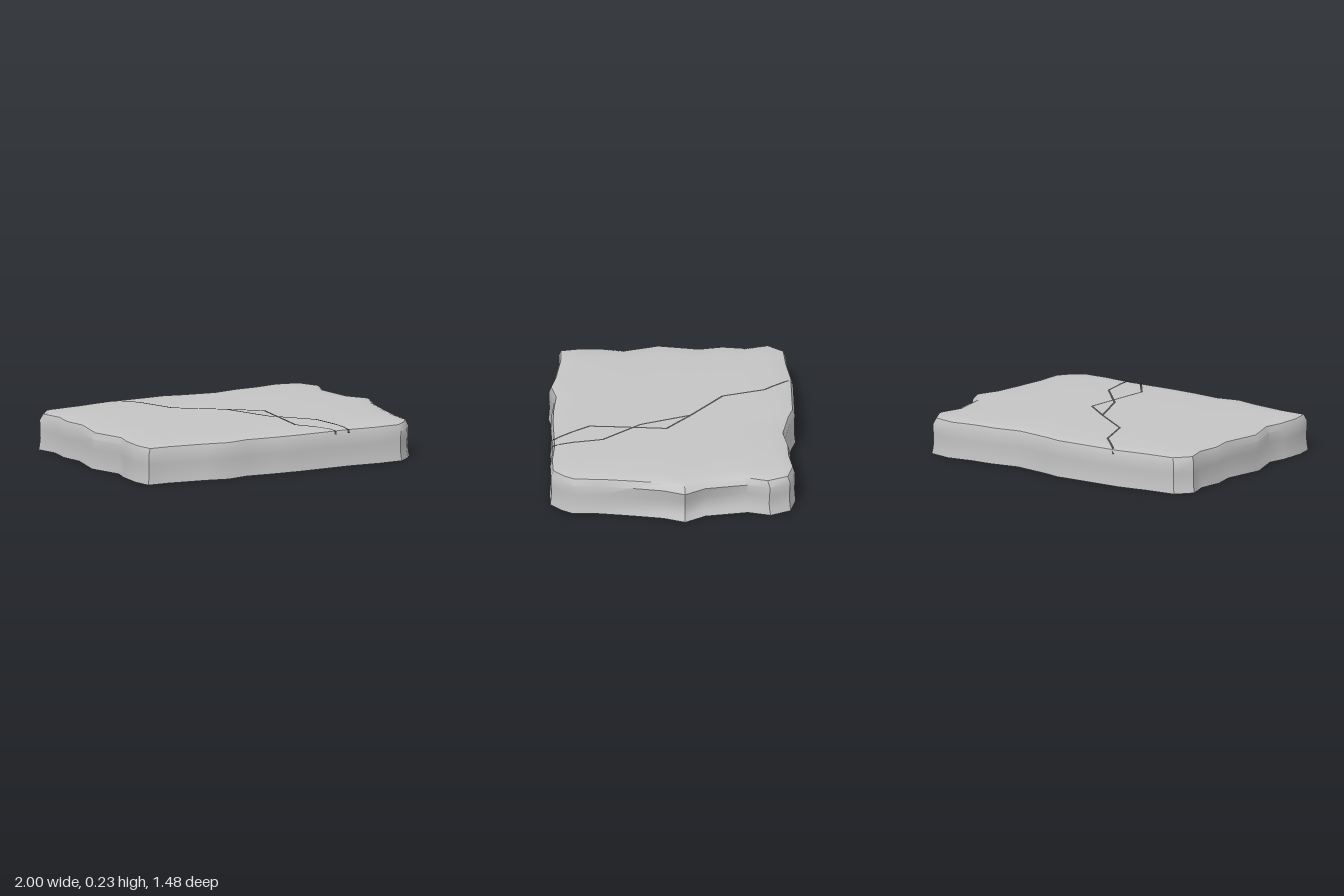
import * as THREE from 'three';
import { toCreasedNormals } from 'three/addons/utils/BufferGeometryUtils.js';

// ragged plan outline (x, z), clockwise seen from above
const OUTLINE = [
  [-1, -0.59], [-0.92, -0.685], [-0.74, -0.70], [-0.54, -0.73], [-0.32, -0.735], [-0.1, -0.74],
  [0, -0.715], [0.23, -0.68], [0.4, -0.71], [0.54, -0.715], [0.7, -0.74], [0.84, -0.71],
  [0.905, -0.59], [0.865, -0.455], [0.915, -0.2], [1, -0.08], [0.945, 0.05], [0.91, 0.24],
  [0.88, 0.43], [0.875, 0.595], [0.83, 0.66], [0.755, 0.725], [0.6, 0.73], [0.4, 0.715],
  [0.08, 0.725], [-0.1, 0.72], [-0.28, 0.705], [-0.42, 0.735], [-0.56, 0.705], [-0.8, 0.675],
  [-0.93, 0.675], [-0.955, 0.56], [-0.95, 0.4], [-0.925, 0.29], [-0.995, 0.08], [-0.95, -0.17],
  [-0.98, -0.31], [-0.96, -0.455],
];

// rings from the base up and over the top: height, inset, extra inset at the worn +x tip
const RINGS = [
  [0, 0, 0], [0.035, 0.005, 0.015], [0.07, 0.008, 0.024], [0.12, 0.007, 0.016], [0.18, 0.005, 0],
  [0.218, 0.022, 0.02], [0.225, 0.05, 0.012], [0.231, 0.16, 0], [0.233, 0.5, 0],
];

function slabGeometry() {
  const n = OUTLINE.length;
  const pos = [];
  const index = [];
  for (const [y, inset, extra] of RINGS) {
    for (const [x, z] of OUTLINE) {
      const tip = x > 0.8 ? Math.max(0, 1 - Math.abs(z + 0.15) / 0.6) : 0;
      const d = inset + extra * tip;
      pos.push(x * (1 - d), y, z * (1 - d / 0.9));
    }
  }
  const base = pos.length / 3;
  pos.push(0, 0, 0, 0, 0.233, 0);
  const last = (RINGS.length - 1) * n;
  for (let i = 0; i < n; i++) {
    const j = (i + 1) % n;
    for (let r = 0; r < RINGS.length - 1; r++) {
      const a = r * n, b = a + n;
      index.push(a + j, a + i, b + i, a + j, b + i, b + j);
    }
    index.push(base, i, j, base + 1, last + j, last + i);
  }
  const g = new THREE.BufferGeometry();
  g.setAttribute('position', new THREE.Float32BufferAttribute(pos, 3));
  g.setIndex(index);
  return toCreasedNormals(g, 0.65);
}

// thin mitred ribbon laid on the slab, with a short drop over the front edge
function crackGeometry(path, slab) {
  const half = 0.007;
  const ray = new THREE.Raycaster();
  const down = new THREE.Vector3(0, -1, 0);
  const height = (x, z) => {
    ray.set(new THREE.Vector3(x, 1, z), down);
    const hit = ray.intersectObject(slab)[0];
    return (hit ? hit.point.y : 0.216) + 0.002;
  };
  const pts = path.map(([x, z]) => new THREE.Vector2(x, z));
  const sides = pts.map((p, i) => {
    const a = p.clone().sub(pts[Math.max(i - 1, 0)]).normalize();
    const b = pts[Math.min(i + 1, pts.length - 1)].clone().sub(p).normalize();
    const t = a.clone().add(b).normalize();
    const cos = Math.max(t.dot(a), t.dot(b));
    return new THREE.Vector2(-t.y, t.x).multiplyScalar(half / cos);
  });
  const pos = [];
  const index = [];
  const STEPS = 8;
  for (let i = 0; i < pts.length - 1; i++) {
    for (let k = i ? 1 : 0; k <= STEPS; k++) {
      const p = pts[i].clone().lerp(pts[i + 1], k / STEPS);
      const s = sides[i].clone().lerp(sides[i + 1], k / STEPS);
      const y = height(p.x, p.y);
      pos.push(p.x - s.x, y, p.y - s.y, p.x + s.x, y, p.y + s.y);
    }
  }
  const end = pts[pts.length - 1];
  for (const [y, z] of [[0.219, 0.012], [0.2, 0.019]]) {
    pos.push(end.x + half, y, end.y + z, end.x - half, y, end.y + z);
  }
  for (let i = 0; i < pos.length / 6 - 1; i++) {
    const a = i * 2;
    index.push(a, a + 1, a + 2, a + 1, a + 3, a + 2);
  }
  const g = new THREE.BufferGeometry();
  g.setAttribute('position', new THREE.Float32BufferAttribute(pos, 3));
  g.setIndex(index);
  // crease so the drop does not tilt the shading of the flat run
  return toCreasedNormals(g, 0.5);
}

export function createModel() {
  const stone = new THREE.MeshStandardMaterial({ color: 0xc4c4c4 });
  stone.name = 'stone grey';
  const dark = new THREE.MeshStandardMaterial({ color: 0x4c4c4c, side: THREE.DoubleSide });
  dark.name = 'crack grey';

  const group = new THREE.Group();
  group.name = 'stoneSlab';

  const slab = new THREE.Mesh(slabGeometry(), stone);
  slab.name = 'slab';
  group.add(slab);

  // main crack runs back to front, the branch leaves it near the middle
  const cracks = {
    mainCrack: [[-0.505, -0.722], [-0.34, -0.555], [-0.25, -0.305], [0.013, -0.115],
      [0.195, 0.03], [0.16, 0.49], [0.315, 0.695]],
    branchCrack: [[0.013, -0.115], [0.14, 0.185], [0.345, 0.41], [0.403, 0.695]],
  };
  for (const [name, path] of Object.entries(cracks)) {
    const crack = new THREE.Mesh(crackGeometry(path, slab), dark);
    crack.name = name;
    group.add(crack);
  }
  return group;
}
